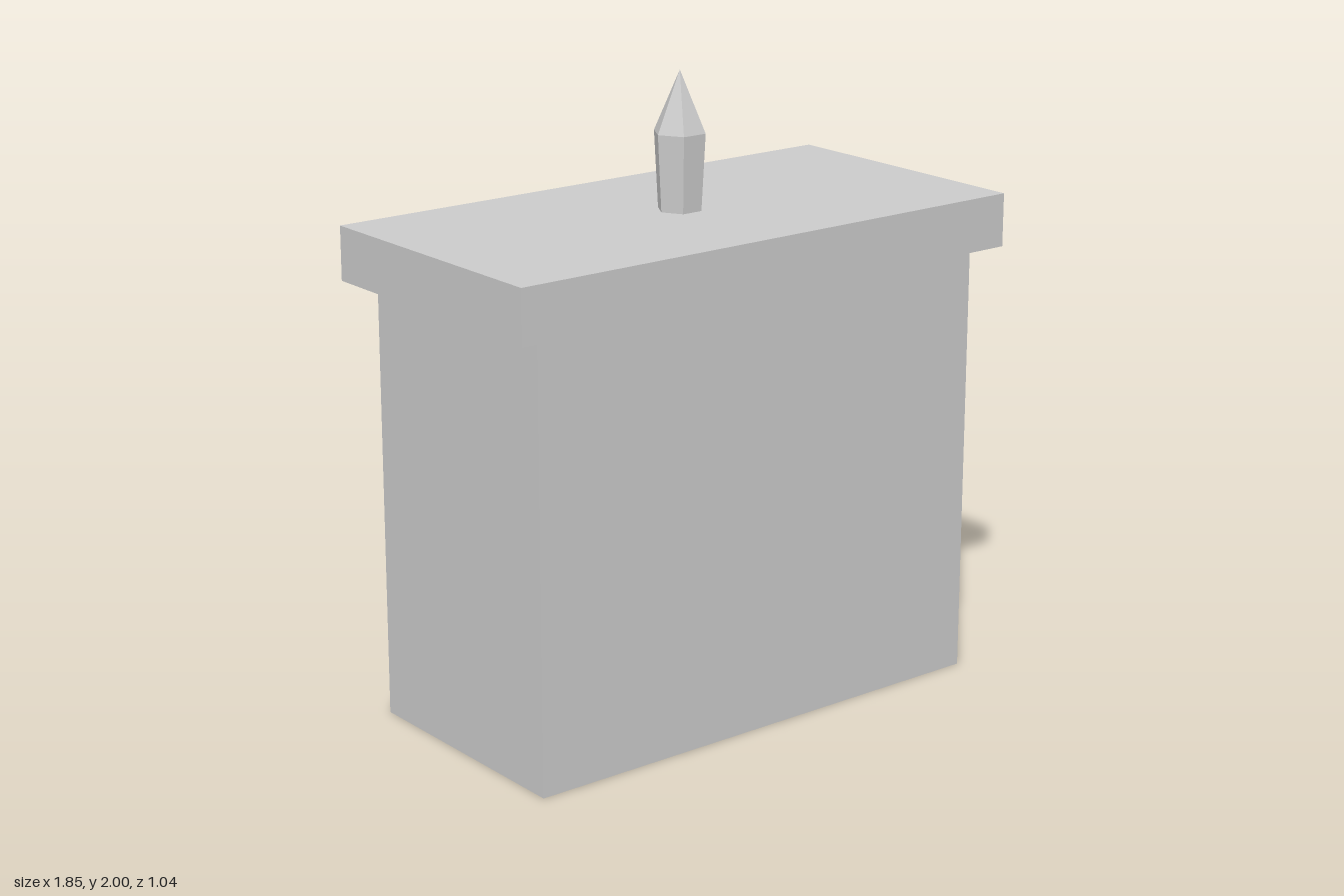
import * as THREE from 'three';

const grey = new THREE.MeshStandardMaterial({ color: 0xcccccc, flatShading: true });
grey.name = 'grey';

// Adds a box given its lower and upper corners
function addBox(parent, name, [x0, y0, z0], [x1, y1, z1]) {
  const mesh = new THREE.Mesh(new THREE.BoxGeometry(x1 - x0, y1 - y0, z1 - z0), grey);
  mesh.position.set((x0 + x1) / 2, (y0 + y1) / 2, (z0 + z1) / 2);
  mesh.name = name;
  parent.add(mesh);
}

// Door panel with a vertical strip and an eight-sided knob; side is +1 or -1
function makeDoor(side) {
  const door = new THREE.Group();
  door.name = side > 0 ? 'leftDoor' : 'rightDoor';
  const span = (a, b) => (side > 0 ? [a, b] : [-b, -a]);

  const [p0, p1] = span(0.05, 0.775);
  addBox(door, 'doorPanel', [p0, 0.215, -0.405], [p1, 1.295, -0.345]);
  const [s0, s1] = span(0.387, 0.431);
  addBox(door, 'doorStrip', [s0, 0.28, -0.436], [s1, 1.23, -0.405]);

  const knob = new THREE.Mesh(new THREE.CylinderGeometry(0.035, 0.035, 0.117, 8), grey);
  knob.rotation.x = Math.PI / 2;
  knob.position.set(side * 0.105, 0.757, -0.4635);
  knob.name = 'doorKnob';
  door.add(knob);
  return door;
}

export function createModel() {
  const model = new THREE.Group();
  model.name = 'cabinet';

  // Carcass and overhanging top
  addBox(model, 'body', [-0.835, 0, -0.345], [0.835, 1.4, 0.47]);
  addBox(model, 'countertop', [-0.925, 1.4, -0.402], [0.925, 1.57, 0.522]);

  // Pair of doors at the back
  for (const side of [-1, 1]) model.add(makeDoor(side));

  // Six-sided pointed ornament on top
  const profile = [[0, 1.57], [0.071, 1.57], [0.084, 1.81], [0, 2]].map(([r, y]) => new THREE.Vector2(r, y));
  const ornament = new THREE.Mesh(new THREE.LatheGeometry(profile, 6, Math.PI / 6), grey);
  ornament.position.z = 0.06;
  ornament.name = 'topOrnament';
  model.add(ornament);

  return model;
}
